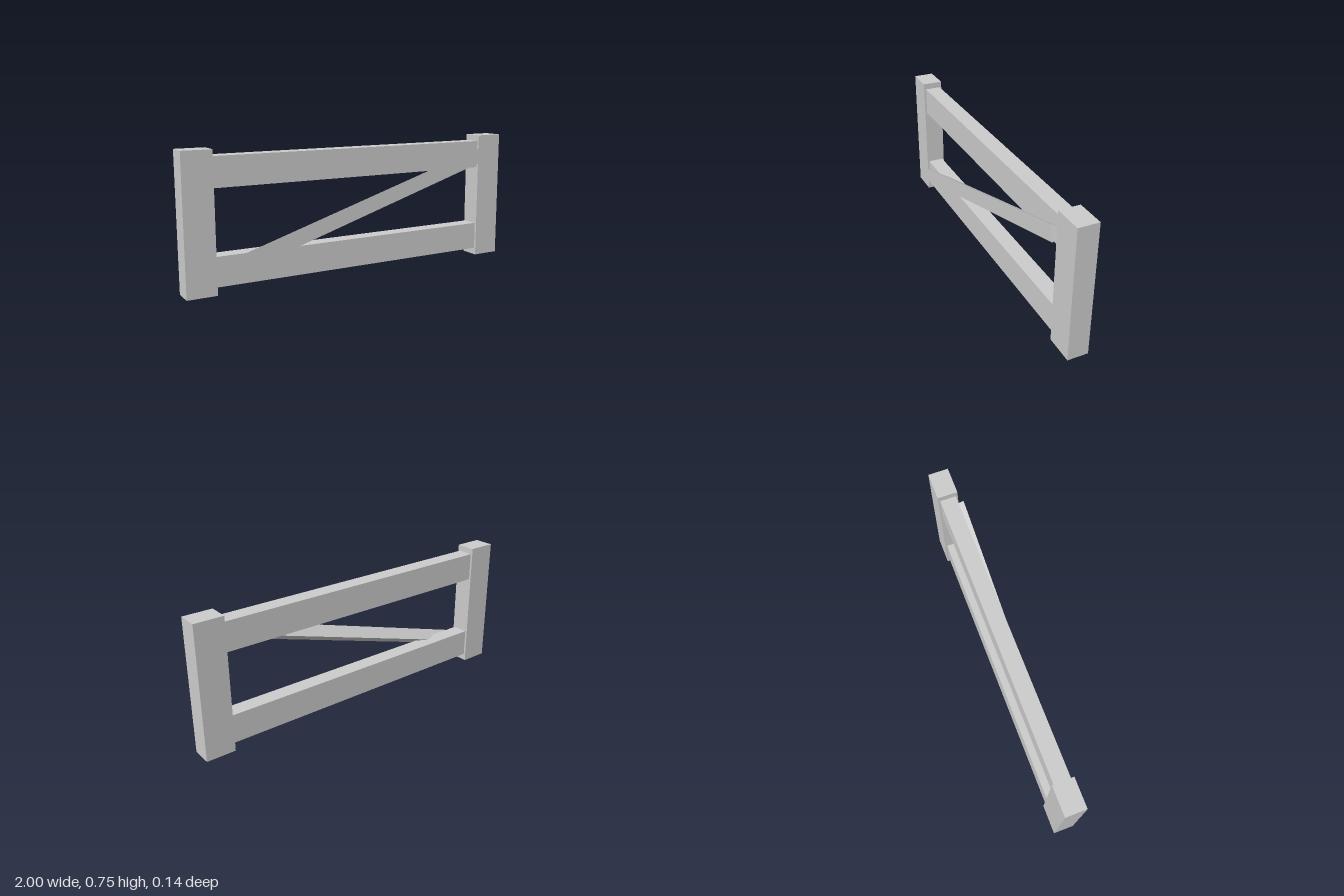
import * as THREE from 'three';

export function createModel() {
  const group = new THREE.Group();
  const paint = new THREE.MeshStandardMaterial({ color: 0xcccccc, flatShading: true });
  paint.name = 'plain grey';

  function add(name, geometry, x, y, z) {
    const mesh = new THREE.Mesh(geometry, paint);
    mesh.name = name;
    mesh.position.set(x, y, z);
    group.add(mesh);
    return mesh;
  }

  // Square end posts
  const post = new THREE.BoxGeometry(0.162, 0.745, 0.115);
  add('leftPost', post, 0.919, 0.3725, -0.0125);
  add('rightPost', post, -0.919, 0.3725, -0.0125);

  // Horizontal rails, slightly thinner than the posts
  const rail = new THREE.BoxGeometry(1.70, 0.16, 0.091);
  add('topRail', rail, 0, 0.63, -0.0125);
  add('bottomRail', rail, 0, 0.12, -0.0125);

  // Diagonal brace: three-sided bar, flat face forward, ridge sunk into the rails
  const brace = new THREE.CylinderGeometry(0.0511, 0.0511, 1.746, 3, 1, false, Math.PI);
  add('diagonalBrace', brace, -0.002, 0.373, 0.0445)
    .rotation.z = Math.atan2(0.51, 1.67) - Math.PI / 2;

  return group;
}
